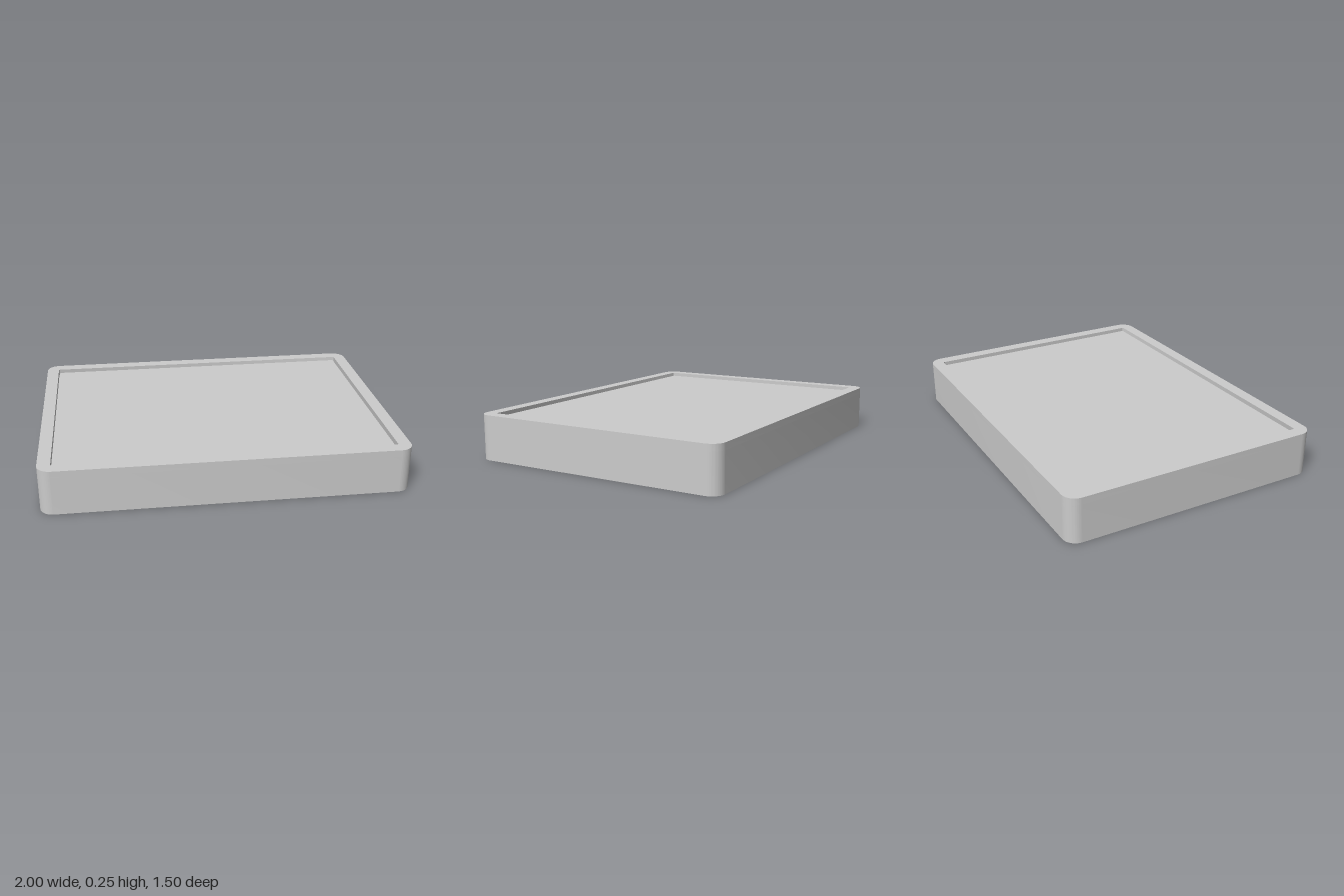
import * as THREE from 'three';
import { toCreasedNormals } from 'three/addons/utils/BufferGeometryUtils.js';

const WIDTH = 2, DEPTH = 1.496, HEIGHT = 0.252, CORNER = 0.075;
const OPEN_W = 1.858, OPEN_D = 1.355; // opening inside the rim
const GAP = 0.007;                    // seam around the panel
const FLOOR = 0.215, PANEL_TOP = 0.232;

// Rounded rectangle centred on the origin
function roundedRect(w, d, r, Type = THREE.Shape) {
  const x = w / 2 - r, y = d / 2 - r;
  const s = new Type();
  s.absarc(x, y, r, 0, Math.PI / 2);
  s.absarc(-x, y, r, Math.PI / 2, Math.PI);
  s.absarc(-x, -y, r, Math.PI, Math.PI * 1.5);
  s.absarc(x, -y, r, Math.PI * 1.5, Math.PI * 2);
  s.closePath();
  return s;
}

// Upright slab of a shape between two heights, with smooth corners
function slab(name, shape, y0, y1, material) {
  const geo = new THREE.ExtrudeGeometry(shape, { depth: y1 - y0, bevelEnabled: false, curveSegments: 12 });
  geo.rotateX(-Math.PI / 2);
  geo.translate(0, y0, 0);
  const mesh = new THREE.Mesh(toCreasedNormals(geo, Math.PI / 6), material);
  mesh.name = name;
  return mesh;
}

export function createModel() {
  const group = new THREE.Group();
  group.name = 'shallowTray';
  const material = new THREE.MeshStandardMaterial({ color: 0xcccccc });

  // Solid lower body
  group.add(slab('base', roundedRect(WIDTH, DEPTH, CORNER), 0, FLOOR, material));

  // Raised border around the opening
  const rim = roundedRect(WIDTH, DEPTH, CORNER);
  rim.holes.push(roundedRect(OPEN_W, OPEN_D, 0.008, THREE.Path));
  group.add(slab('rim', rim, FLOOR, HEIGHT, material));

  // Inset panel, slightly below the rim
  const panel = roundedRect(OPEN_W - 2 * GAP, OPEN_D - 2 * GAP, 0.004);
  group.add(slab('panel', panel, FLOOR, PANEL_TOP, material));

  return group;
}
